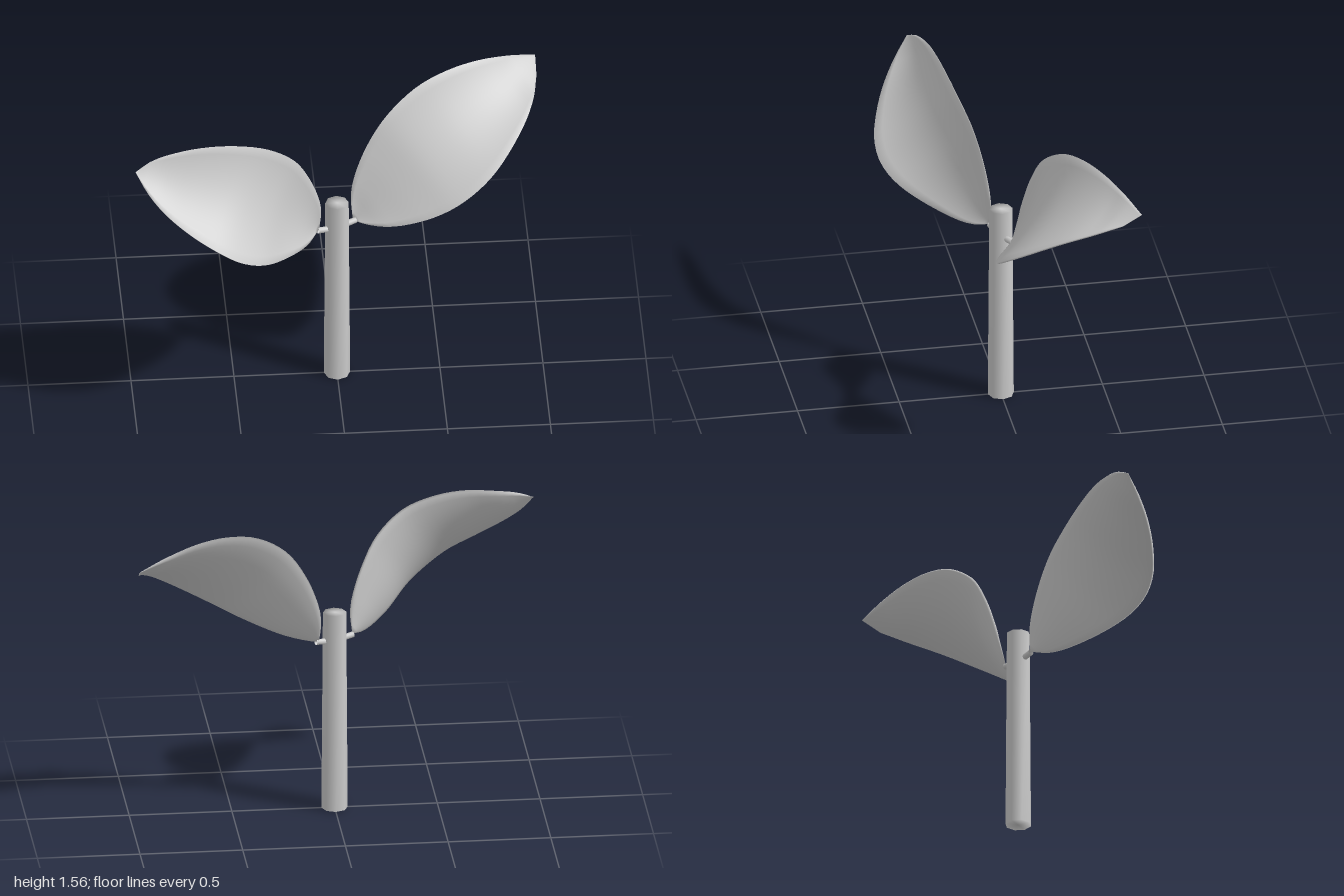
import * as THREE from 'three';
import { mergeVertices } from 'three/addons/utils/BufferGeometryUtils.js';

// Welds all corners so shading runs smoothly over the edges
function welded(geometry) {
  geometry.deleteAttribute('uv');
  geometry.deleteAttribute('normal');
  const g = mergeVertices(geometry, 1e-4);
  g.computeVertexNormals();
  return g;
}

const curve = (pts) => new THREE.CatmullRomCurve3(pts.map((p) => new THREE.Vector3(...p)));

// Cupped blade with a thin rim, stretched between a lower and an upper edge curve
function leafGeometry(lowerPts, upperPts, side) {
  const lower = curve(lowerPts), upper = curve(upperPts);
  const rows = 32, cols = 12, ring = 2 * (cols + 1), cup = 0.1, thickness = 0.012;
  const pos = [], index = [];
  for (let i = 0; i <= rows; i++) {
    const u = i / rows;
    const a = lower.getPointAt(u), b = upper.getPointAt(u);
    const across = b.clone().sub(a);
    const along = lower.getTangentAt(u).add(upper.getTangentAt(u));
    const back = along.cross(across).normalize().multiplyScalar(-side);
    const depth = cup * across.length() * Math.min(1, 8 * (1 - u));
    const half = thickness / 2 * Math.min(1, 8 * u, 0.3 + 8 * (1 - u));
    // Ring: front face from lower to upper edge, then the back face returning
    for (let k = 0; k < ring; k++) {
      const front = k <= cols;
      const s = (front ? k : ring - 1 - k) / cols;
      const p = a.clone().lerp(b, s)
        .addScaledVector(back, depth * 4 * s * (1 - s) + (front ? -half : half));
      pos.push(p.x, p.y, p.z);
      if (i < rows) {
        const c = i * ring + k, d = i * ring + (k + 1) % ring;
        const e = c + ring, f = d + ring;
        if (side > 0) index.push(c, e, d, d, e, f);
        else index.push(c, d, e, d, f, e);
      }
    }
  }
  // Closing strip at the tip
  const last = rows * ring;
  for (let k = 0; k < cols; k++) {
    const c = last + k, d = c + 1, e = last + ring - 1 - k, f = e - 1;
    if (side > 0) index.push(c, e, d, d, e, f);
    else index.push(c, d, e, d, f, e);
  }
  const g = new THREE.BufferGeometry();
  g.setAttribute('position', new THREE.Float32BufferAttribute(pos, 3));
  g.setIndex(index);
  return welded(g);
}

export function createModel() {
  const model = new THREE.Group();
  const grey = new THREE.MeshStandardMaterial({ color: 0xcccccc, side: THREE.DoubleSide });
  grey.name = 'light grey';
  const add = (name, geometry) => {
    const mesh = new THREE.Mesh(geometry, grey);
    mesh.name = name;
    model.add(mesh);
    return mesh;
  };

  // Eight-sided stem, slightly tapered
  add('stem', welded(new THREE.CylinderGeometry(0.057, 0.064, 1.02, 8))).position.y = 0.51;

  // Short stalks joining the leaves to the stem
  const stalk = (name, from, to) => add(name, welded(
    new THREE.TubeGeometry(curve([from, to]), 2, 0.015, 8)));
  stalk('leftLeafStalk', [0.03, 0.875, -0.012], [0.095, 0.883, -0.04]);
  stalk('rightLeafStalk', [-0.03, 0.875, 0.012], [-0.095, 0.885, 0.038]);

  // Left leaf, sweeping backwards to a blunt tip
  add('leftLeaf', leafGeometry(
    [[0.08, 0.885, -0.04], [0.13, 0.88, -0.01], [0.26, 0.9, 0.05], [0.45, 0.975, 0.1],
      [0.6, 1.06, 0.103], [0.75, 1.165, 0.04], [0.9, 1.3, -0.13], [0.97, 1.375, -0.28], [0.998, 1.425, -0.42]],
    [[0.08, 0.885, -0.04], [0.074, 1, -0.075], [0.092, 1.1, -0.095], [0.152, 1.255, -0.125],
      [0.25, 1.405, -0.165], [0.4, 1.515, -0.24], [0.55, 1.555, -0.31], [0.7, 1.555, -0.38],
      [0.85, 1.525, -0.45], [0.998, 1.48, -0.514]], 1));

  // Right leaf, leaning forwards to a pointed tip
  add('rightLeaf', leafGeometry(
    [[-0.09, 0.89, 0.035], [-0.15, 0.868, 0.12], [-0.27, 0.9, 0.27], [-0.4, 0.985, 0.435],
      [-0.5, 1.05, 0.497], [-0.6, 1.12, 0.51], [-0.74, 1.208, 0.472], [-0.86, 1.297, 0.412],
      [-0.94, 1.378, 0.348], [-0.998, 1.465, 0.28]],
    [[-0.09, 0.89, 0.035], [-0.082, 1, 0.035], [-0.1, 1.1, 0.045], [-0.15, 1.24, 0.07],
      [-0.22, 1.365, 0.105], [-0.35, 1.475, 0.155], [-0.5, 1.525, 0.185], [-0.65, 1.54, 0.205],
      [-0.8, 1.525, 0.22], [-0.92, 1.5, 0.245], [-0.998, 1.465, 0.28]], -1));

  return model;
}
